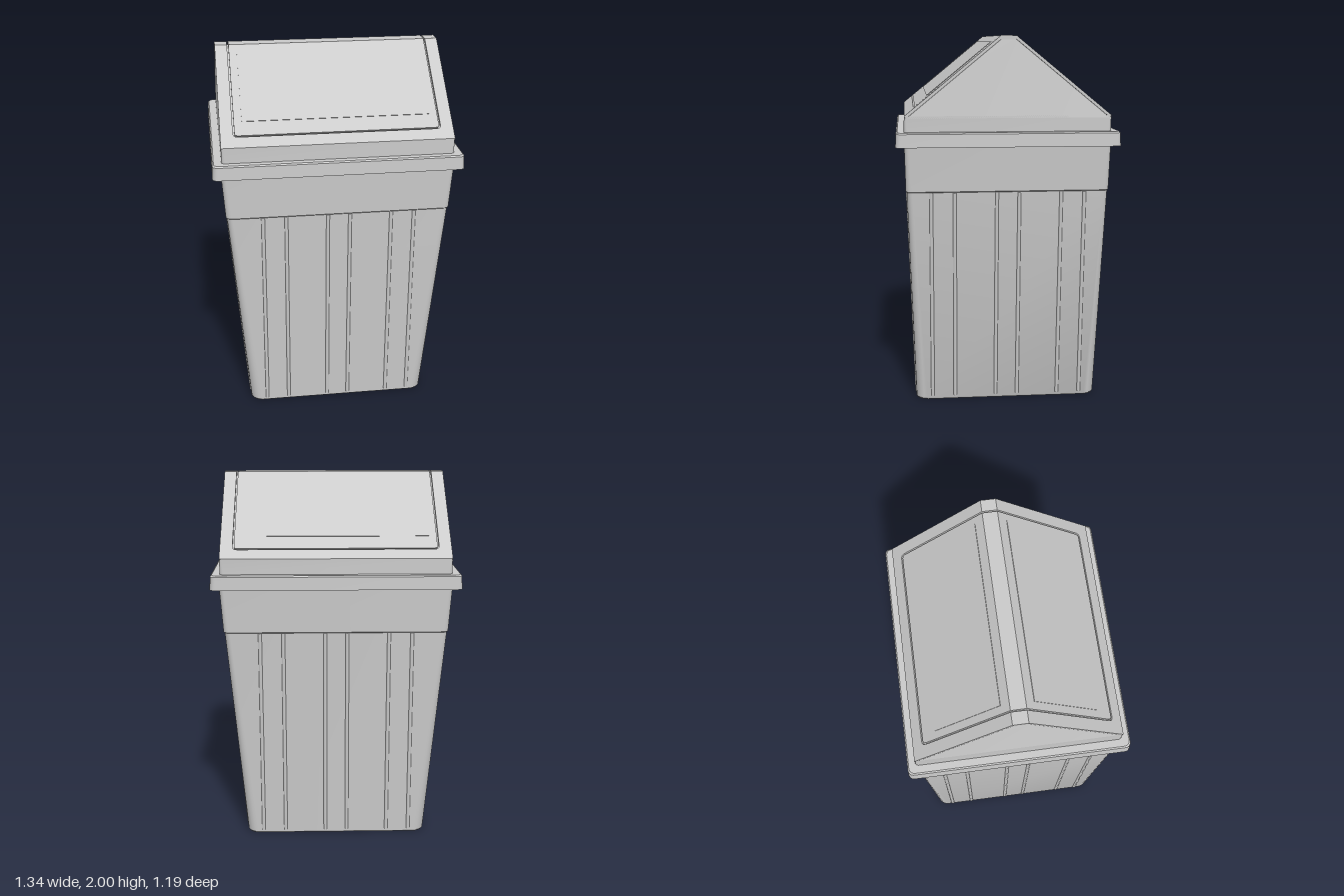
import * as THREE from 'three';
import { toCreasedNormals } from 'three/addons/utils/BufferGeometryUtils.js';

const material = new THREE.MeshStandardMaterial({ color: 0xcccccc });

function addMesh(parent, name, geometry) {
  const mesh = new THREE.Mesh(geometry, material);
  mesh.name = name;
  parent.add(mesh);
  return mesh;
}

// Outline of a rounded rectangle, seen from above
function outline([y, hx, hz, r], steps = 5) {
  const points = [];
  [[1, 1], [-1, 1], [-1, -1], [1, -1]].forEach(([sx, sz], corner) => {
    for (let i = 0; i <= steps; i++) {
      const a = (corner + i / steps) * Math.PI / 2;
      points.push([sx * (hx - r) + r * Math.cos(a), y, sz * (hz - r) + r * Math.sin(a)]);
    }
  });
  return points;
}

// Skin through rings of [y, half width, half depth, corner radius], listed from the bottom up
function loft(rings, capBottom, capTop) {
  const loops = rings.map((ring) => outline(ring));
  const n = loops[0].length;
  const position = [];
  const index = [];
  loops.forEach((loop) => loop.forEach((p) => position.push(...p)));
  for (let k = 0; k < loops.length - 1; k++) {
    for (let i = 0; i < n; i++) {
      const a = k * n + i, b = k * n + (i + 1) % n;
      index.push(a, a + n, b, b, a + n, b + n);
    }
  }
  const last = (loops.length - 1) * n;
  for (let i = 1; i < n - 1; i++) {
    if (capBottom) index.push(0, i, i + 1);
    if (capTop) index.push(last, last + i + 1, last + i);
  }
  const geometry = new THREE.BufferGeometry();
  geometry.setAttribute('position', new THREE.Float32BufferAttribute(position, 3));
  geometry.setIndex(index);
  return toCreasedNormals(geometry, 0.5);
}

// Flat panel hanging down from y = top, with rounded lower corners
function panelPath(path, h, top, bottom, r) {
  path.moveTo(-h, top);
  path.lineTo(-h, bottom + r);
  path.quadraticCurveTo(-h, bottom, -h + r, bottom);
  path.lineTo(h - r, bottom);
  path.quadraticCurveTo(h, bottom, h, bottom + r);
  path.lineTo(h, top);
  path.closePath();
  return path;
}

function extrude(shape, depth) {
  return new THREE.ExtrudeGeometry(shape, { depth, bevelEnabled: false, curveSegments: 5 });
}

export function createModel() {
  const bin = new THREE.Group();
  bin.name = 'swingTopBin';

  // Tapered body with a slightly proud band at the top
  addMesh(bin, 'body', loft([
    [0, 0.495, 0.495, 0.06], [0.008, 0.5, 0.5, 0.06], [1.18, 0.6, 0.538, 0.03],
    [1.185, 0.606, 0.543, 0.03], [1.45, 0.624, 0.549, 0.025],
  ], true, false));

  // Pairs of vertical ribs on each side
  for (let side = 0; side < 4; side++) {
    const group = new THREE.Group();
    group.name = 'ribs' + (side + 1);
    group.rotation.y = side * Math.PI / 2;
    const top = side % 2 ? 0.6 : 0.538;
    for (const x of [-0.41, -0.285, -0.06, 0.06, 0.285, 0.41]) {
      const rib = addMesh(group, 'rib', new THREE.CylinderGeometry(0.012, 0.012, 1.16, 8));
      rib.position.set(x, 0.6, (0.5 + top) / 2 - 0.006);
      rib.rotation.x = Math.atan((top - 0.5) / 1.18);
    }
    bin.add(group);
  }

  // Overhanging rim with a hollow underside
  addMesh(bin, 'rim', loft([
    [1.485, 0.61, 0.54, 0.025], [1.485, 0.65, 0.576, 0.025], [1.425, 0.652, 0.578, 0.025],
    [1.425, 0.668, 0.594, 0.03], [1.495, 0.665, 0.591, 0.03], [1.502, 0.658, 0.584, 0.03],
    [1.502, 0.6, 0.53, 0.025],
  ], false, false));

  // Core of the gabled lid, which forms the floor of the groove
  const lid = new THREE.Group();
  lid.name = 'lid';
  bin.add(lid);
  addMesh(lid, 'lidCore', loft([
    [1.5, 0.617, 0.549, 0.02], [1.585, 0.617, 0.547, 0.012],
    [1.573, 0.617, 0.5375, 0.004], [1.981, 0.617, 0.039, 0.004],
  ], false, true));

  // Frame and swinging flap on both slopes
  const depth = 0.015;
  const rise = 0.415, run = 0.507, slope = Math.hypot(rise, run);
  for (const turn of [0, Math.PI]) {
    const half = new THREE.Group();
    half.name = turn ? 'backSlope' : 'frontSlope';
    half.rotation.y = turn;
    const plane = new THREE.Group();
    plane.name = 'slopePanels';
    plane.position.set(0, 2, 0.04);
    plane.rotation.x = -Math.atan2(run, rise);
    half.add(plane);
    lid.add(half);

    const frame = new THREE.Shape();
    frame.moveTo(-0.617, 0);
    frame.lineTo(-0.617, -slope);
    frame.lineTo(0.617, -slope);
    frame.lineTo(0.617, 0);
    frame.lineTo(0.55, 0);
    frame.lineTo(0.55, -0.565);
    frame.quadraticCurveTo(0.55, -0.59, 0.525, -0.59);
    frame.lineTo(-0.525, -0.59);
    frame.quadraticCurveTo(-0.55, -0.59, -0.55, -0.565);
    frame.lineTo(-0.55, 0);
    frame.closePath();
    addMesh(plane, 'lidFrame', extrude(frame, depth)).position.z = -depth;

    const flap = panelPath(new THREE.Shape(), 0.542, 0, -0.582, 0.02);
    addMesh(plane, 'flap', extrude(flap, depth)).position.z = -depth;

    // Shallow raised field on the flap
    const field = panelPath(new THREE.Shape(), 0.5, -0.055, -0.497, 0.004);
    addMesh(plane, 'flapField', extrude(field, 0.003));
  }

  // Flat ridge, split by the groove at each end of the flap
  for (const [x, width] of [[0, 1.084], [-0.5835, 0.067], [0.5835, 0.067]]) {
    const ridge = addMesh(lid, x ? 'frameRidge' : 'flapRidge', new THREE.BoxGeometry(width, 0.022, 0.08));
    ridge.position.set(x, 1.989, 0);
  }
  return bin;
}
